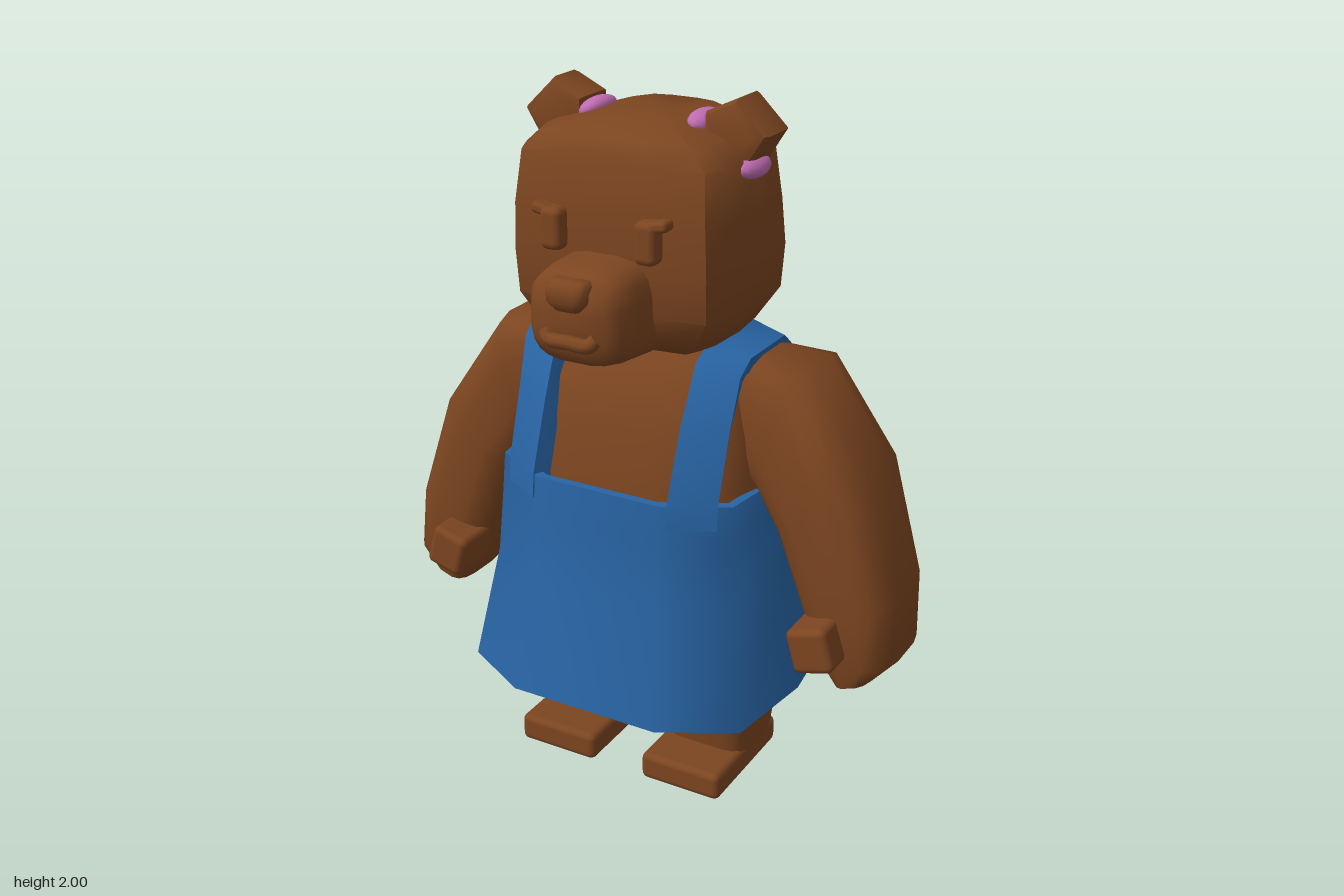
import * as THREE from 'three';
import { toCreasedNormals } from 'three/addons/utils/BufferGeometryUtils.js';
import { RoundedBoxGeometry } from 'three/addons/geometries/RoundedBoxGeometry.js';

const V = (x, y, z) => new THREE.Vector3(x, y, z);

const fur = new THREE.MeshStandardMaterial({ color: 0x7c4520 });
fur.name = 'brown fur';
const cloth = new THREE.MeshStandardMaterial({ color: 0x2864a4, side: THREE.DoubleSide });
cloth.name = 'blue cloth';
const pink = new THREE.MeshStandardMaterial({ color: 0xc06cb2 });
pink.name = 'pink inner ear';

// Rounded-square outline; a higher power gives squarer corners
function squircle(n, power) {
  return Array.from({ length: n }, (_, i) => {
    const a = ((i + 0.5) / n) * Math.PI * 2;
    const f = (t) => Math.sign(t) * Math.abs(t) ** (2 / power);
    return [f(Math.cos(a)), f(Math.sin(a))];
  });
}

// Close a half outline, listed from back to front, into a symmetric loop
const symmetric = (half) => [...half.map(([a, b]) => [-a, b]), ...half.slice().reverse()];

// Skin through rings {c, u, v}; u x v points along the loft
function loft(rings, profile, crease = 1, joined = false) {
  const n = profile.length, m = rings.length, pos = [], idx = [];
  for (const { c, u, v } of rings) {
    for (const [a, b] of profile) {
      const p = c.clone().addScaledVector(u, a).addScaledVector(v, b);
      pos.push(p.x, p.y, p.z);
    }
  }
  for (let r = 0; r < (joined ? m : m - 1); r++) {
    for (let i = 0; i < n; i++) {
      const j = (i + 1) % n, s = ((r + 1) % m) * n;
      const a = r * n + i, b = r * n + j;
      idx.push(a, b, s + j, a, s + j, s + i);
    }
  }
  if (!joined) {
    const c0 = rings[0].c, c1 = rings[m - 1].c;
    pos.push(c0.x, c0.y, c0.z, c1.x, c1.y, c1.z);
    for (let i = 0; i < n; i++) {
      const j = (i + 1) % n;
      idx.push(m * n, j, i, m * n + 1, (m - 1) * n + i, (m - 1) * n + j);
    }
  }
  const g = new THREE.BufferGeometry();
  g.setAttribute('position', new THREE.Float32BufferAttribute(pos, 3));
  g.setIndex(idx);
  return toCreasedNormals(g, crease);
}

// Horizontal ring from its extents
const level = ([y, x0, x1, z0, z1]) => ({
  c: V((x0 + x1) / 2, y, (z0 + z1) / 2), u: V((x1 - x0) / 2, 0, 0), v: V(0, 0, (z0 - z1) / 2),
});
const centred = ([y, hx, z0, z1]) => level([y, -hx, hx, z0, z1]);

// Mirror a geometry in x, keeping faces outward
function mirrorX(geo) {
  const g = (geo.index ? geo.toNonIndexed() : geo.clone()).scale(-1, 1, 1);
  for (const a of Object.values(g.attributes)) {
    const k = a.itemSize;
    for (let i = 0; i < a.count; i += 3) {
      for (let d = 0; d < k; d++) {
        const p = (i + 1) * k + d, q = (i + 2) * k + d, t = a.array[p];
        a.array[p] = a.array[q];
        a.array[q] = t;
      }
    }
  }
  return g;
}

export function createModel() {
  const model = new THREE.Group();
  model.name = 'bear';
  const add = (name, geo, mat = fur) => {
    const mesh = new THREE.Mesh(geo, mat);
    mesh.name = name;
    model.add(mesh);
  };
  const pair = (name, geo, mat) => {
    add('left' + name, geo, mat);
    add('right' + name, mirrorX(geo), mat);
  };
  const box = (w, h, d, r) => new RoundedBoxGeometry(w, h, d, 2, r);

  // Head: square at the face, chamfered at the back
  const skull = symmetric([[0.3, 1], [0.7, 0.92], [0.95, 0.55], [1, 0], [0.98, -0.6], [0.87, -0.92], [0.4, -1]]);
  add('head', loft([
    [1.32, 0.2, -0.18, 0.12], [1.36, 0.265, -0.245, 0.19], [1.45, 0.325, -0.3, 0.225],
    [1.57, 0.33, -0.317, 0.235], [1.7, 0.325, -0.293, 0.235], [1.84, 0.31, -0.262, 0.215],
    [1.895, 0.25, -0.235, 0.195], [1.93, 0.13, -0.2, 0.1],
  ].map(centred), skull));

  // Muzzle, built forwards along z
  add('muzzle', loft([
    [0.14, 0.14, 1.315, 1.61], [0.3, 0.142, 1.335, 1.605],
    [0.375, 0.135, 1.352, 1.59], [0.405, 0.11, 1.39, 1.555],
  ].map(([z, hx, y0, y1]) => ({ c: V(0, (y0 + y1) / 2, z), u: V(hx, 0, 0), v: V(0, (y1 - y0) / 2, 0) })), squircle(20, 3.4)));

  // Nose, tapering downwards
  add('nose', loft([
    [1.505, 0.035, 0.38, 0.425], [1.53, 0.058, 0.37, 0.44], [1.57, 0.06, 0.36, 0.438], [1.583, 0.05, 0.36, 0.425],
  ].map(centred), squircle(12, 4), 1.2));

  // Mouth
  const smile = new THREE.CatmullRomCurve3([
    V(-0.075, 1.436, 0.4), V(-0.06, 1.42, 0.41), V(0, 1.42, 0.413), V(0.06, 1.42, 0.41), V(0.075, 1.436, 0.4),
  ]);
  add('mouth', new THREE.TubeGeometry(smile, 20, 0.02, 8));

  // Eyes with an outward lash
  pair('Eye', box(0.064, 0.115, 0.06, 0.02).translate(0.14, 1.66, 0.248));
  pair('Eyelash', box(0.09, 0.03, 0.05, 0.012).rotateZ(0.2).translate(0.156, 1.703, 0.245));

  // Ears: heavily bevelled slabs with pink lining showing at both ends
  const ear = new THREE.Shape([
    [0.21, 1.845], [0.29, 1.845], [0.328, 1.905], [0.268, 1.963], [0.208, 1.935],
  ].map(([x, y]) => new THREE.Vector2(x, y)));
  pair('Ear', toCreasedNormals(new THREE.ExtrudeGeometry(ear, {
    depth: 0.095, bevelEnabled: true, bevelThickness: 0.03, bevelSize: 0.028, bevelSegments: 2,
  }).translate(0, 0, -0.076), 0.7));
  const lining = (x, y, z) => new THREE.SphereGeometry(1, 16, 10).scale(0.038, 0.028, 0.078).rotateZ(-0.4).translate(x, y, z);
  pair('InnerEarTop', lining(0.162, 1.922, -0.012), pink);
  pair('InnerEarBase', lining(0.304, 1.823, -0.002), pink);

  // Torso, filling the dress at the sides
  add('torso', loft([
    [0.42, 0.35, -0.28, 0.22], [0.6, 0.38, -0.335, 0.25], [0.95, 0.372, -0.325, 0.215],
    [1.1, 0.35, -0.3, 0.19], [1.2, 0.32, -0.26, 0.16], [1.29, 0.29, -0.21, 0.1], [1.35, 0.2, -0.17, 0.06],
  ].map(centred), squircle(20, 3.4)));

  // Arms: each ring spans an inner and an outer point
  pair('Arm', loft([
    [0.27, 0.97, 0.28, 1.31, -0.22, 0.05], [0.35, 0.93, 0.475, 1.295, -0.265, 0.09],
    [0.42, 0.83, 0.665, 1.015, -0.288, 0.108], [0.505, 0.62, 0.77, 0.69, -0.25, 0.108],
    [0.555, 0.49, 0.787, 0.51, -0.2, 0.1], [0.62, 0.41, 0.73, 0.45, -0.17, 0.085],
  ].map(([xi, yi, xo, yo, z0, z1]) => ({
    c: V((xi + xo) / 2, (yi + yo) / 2, (z0 + z1) / 2),
    u: V((xo - xi) / 2, (yo - yi) / 2, 0), v: V(0, 0, (z1 - z0) / 2),
  })), squircle(16, 3.4), 1.2));
  pair('Thumb', box(0.12, 0.13, 0.16, 0.02).rotateZ(0.28).translate(0.595, 0.57, 0.108));

  // Legs and feet, flush at the ankle
  pair('Leg', loft([
    [0.03, 0.082, 0.334, -0.192, 0.055], [0.1, 0.08, 0.338, -0.195, 0.06],
    [0.3, 0.065, 0.365, -0.22, 0.1], [0.46, 0.05, 0.36, -0.23, 0.12],
  ].map(level), squircle(16, 5.5)));
  pair('Foot', box(0.255, 0.085, 0.385, 0.02).translate(0.208, 0.0425, 0));

  // Dress: a flared hollow skirt with a thick rim
  const hem = symmetric([[0, 1], [0.48, 1], [0.92, 0.72], [1, 0], [0.92, -0.72], [0.48, -1], [0, -1]].slice(1, 6));
  const skirt = [[0.31, 0.475, -0.437, 0.375], [0.65, 0.415, -0.378, 0.3], [0.84, 0.402, -0.39, 0.288], [0.95, 0.395, -0.388, 0.282]];
  const inside = skirt.map(([y, hx, z0, z1]) => [y, hx - 0.025, z0 + 0.025, z1 - 0.025]).reverse();
  add('dress', loft([...skirt, ...inside].map(centred), hem, 1.2, true), cloth);

  // Shoulder straps: a band of [z, y, x, outward drop in y, shift in z], front to back
  const path = [[0.225, 0.88, 0.258, 0, -0.032], [0.218, 0.95, 0.258, 0, -0.032], [0.155, 1.14, 0.26, 0, -0.028],
    [0.095, 1.285, 0.268, -0.015, -0.012], [0.05, 1.315, 0.272, -0.018, 0], [-0.15, 1.315, 0.272, -0.018, 0],
    [-0.195, 1.285, 0.268, -0.015, 0.012], [-0.285, 1.13, 0.262, 0, 0.028], [-0.33, 0.95, 0.258, 0, 0.032],
    [-0.33, 0.88, 0.258, 0, 0.032]];
  const band = path.map(([z, y, x, dy, dz], i) => {
    const a = path[Math.max(i - 1, 0)], b = path[Math.min(i + 1, path.length - 1)];
    const u = V(0.06, dy, dz);
    const t = V(0, b[1] - a[1], b[0] - a[0]);
    return { c: V(x, y, z), u, v: t.cross(u).normalize().multiplyScalar(0.027) };
  });
  pair('Strap', loft(band, [[1, 1], [-1, 1], [-1, -1], [1, -1]]), cloth);

  return model;
}
